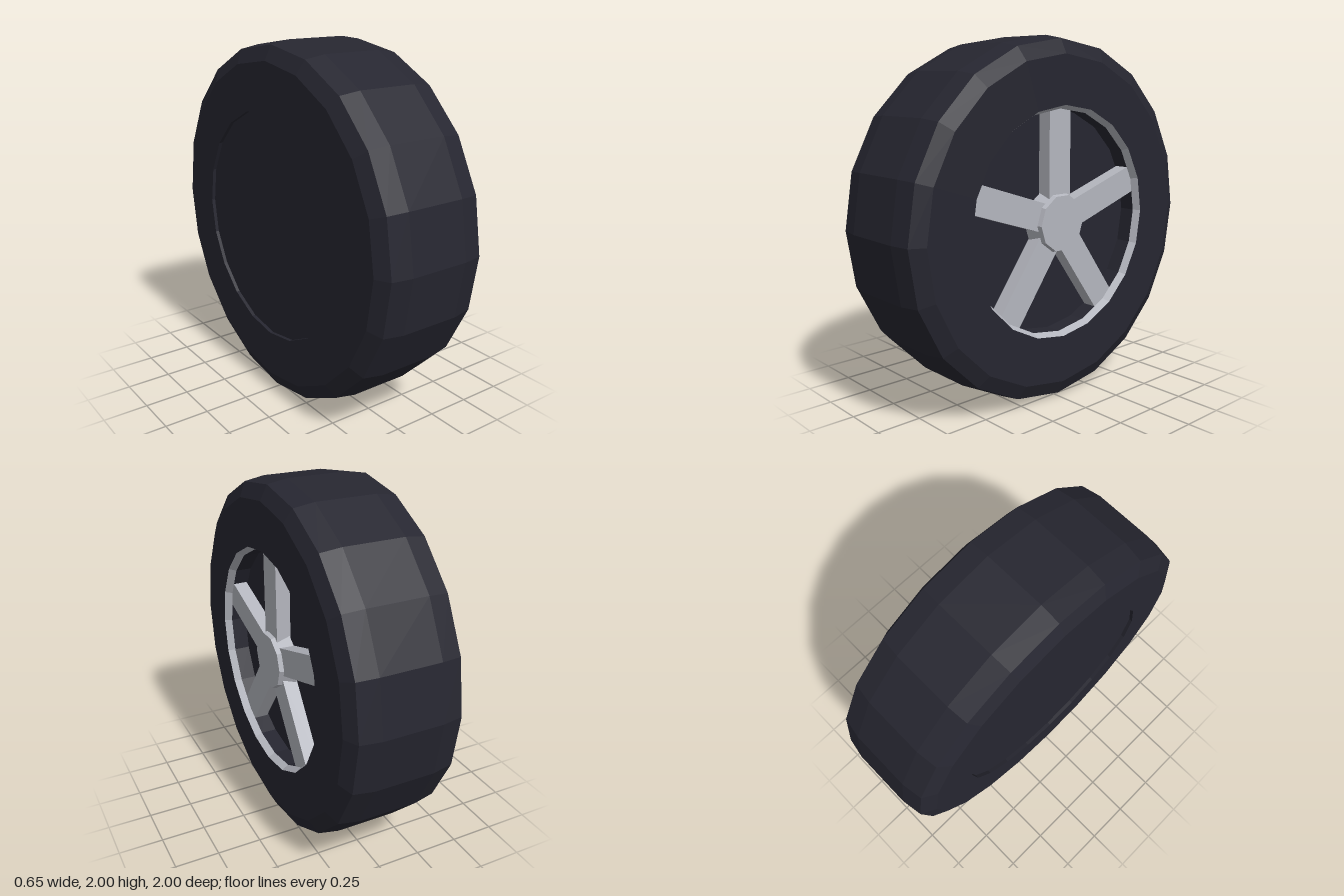
import * as THREE from 'three';

const SIDES = 20;

export function createModel() {
  const rubber = new THREE.MeshStandardMaterial({ color: 0x262630, flatShading: true });
  rubber.name = 'dark rubber';
  const silver = new THREE.MeshStandardMaterial({ color: 0xb4b6be, flatShading: true });
  silver.name = 'silver metal';

  const model = new THREE.Group();
  model.name = 'wheel';

  // Everything is built around the y axis, then turned so the axle lies along x
  const wheel = new THREE.Group();
  wheel.name = 'wheelAssembly';
  wheel.rotation.z = -Math.PI / 2;
  wheel.position.y = 1;
  model.add(wheel);

  const add = (name, geometry, material, parent = wheel) => {
    const mesh = new THREE.Mesh(geometry, material);
    mesh.name = name;
    parent.add(mesh);
    return mesh;
  };
  // Profile points are [radius, position along the axle]
  const lathe = (points) =>
    new THREE.LatheGeometry(points.map(([r, a]) => new THREE.Vector2(r, a)), SIDES);

  // Tyre: inner sidewall, shoulders, tread and outer sidewall
  add('tyre', lathe([
    [0.64, -0.305], [0.64, -0.325], [0.9, -0.325], [0.98, -0.285], [1, -0.17],
    [1, 0.17], [0.98, 0.285], [0.9, 0.325], [0.635, 0.325],
  ]), rubber);

  // Closed back, slightly recessed
  add('backPlate', lathe([[0, -0.305], [0.64, -0.305]]), rubber);

  // Bright lip around the opening, then the dark well behind the spokes
  add('rimLip', lathe([[0.635, 0.325], [0.615, 0.285]]), silver);
  add('rimWell', lathe([[0.615, 0.285], [0.615, 0.195], [0, 0.195]]), rubber);

  // Tapered hub
  const hub = add('hub', new THREE.CylinderGeometry(0.157, 0.185, 0.1, 10), silver);
  hub.position.y = 0.26;

  // Five spokes, the first pointing straight up
  const inner = 0.1, outer = 0.628;
  const spokeGeometry = new THREE.BoxGeometry(outer - inner, 0.08, 0.155);
  spokeGeometry.translate(-(inner + outer) / 2, 0.245, 0);
  for (let i = 0; i < 5; i++) {
    const spoke = add('spoke' + (i + 1), spokeGeometry, silver);
    spoke.rotation.y = (i * Math.PI * 2) / 5;
  }

  return model;
}
